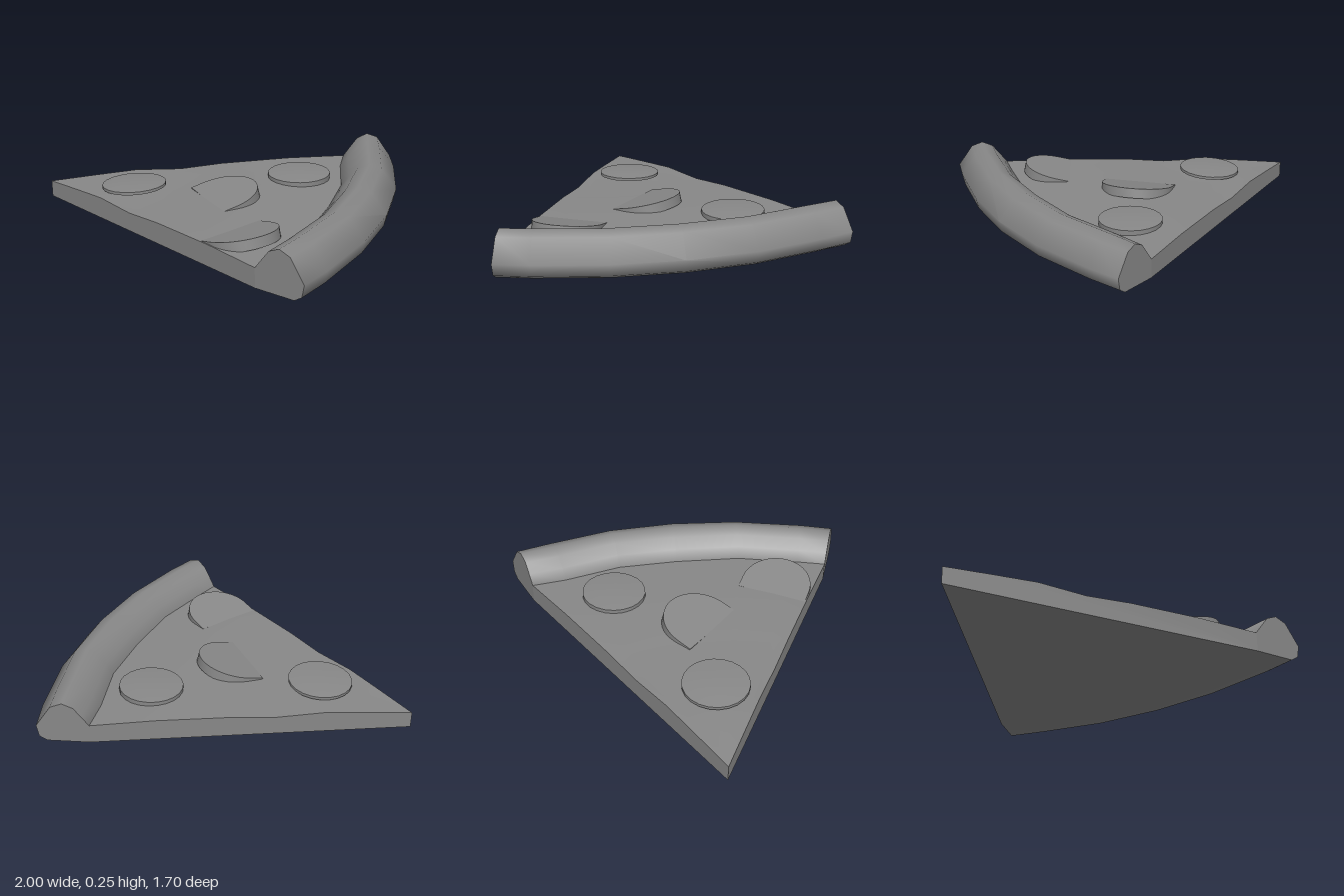
import * as THREE from 'three';
import { toCreasedNormals } from 'three/addons/utils/BufferGeometryUtils.js';

const TIP = [-1, 0.85];
// [x, z] stations along the crust, front end to back end
const INNER = [[0.71, 0.83], [0.67, 0.68], [0.57, 0.35], [0.4, 0.03], [0.22, -0.25], [-0.01, -0.48], [-0.13, -0.63]];
const OUTER = [[1, 0.79], [0.96, 0.6], [0.84, 0.22], [0.68, -0.12], [0.46, -0.44], [0.19, -0.72], [0.04, -0.85]];

// Cross-sections as [fraction from start to end, height]; the first point anchors the end caps
const SLAB = [[1, 0.01], [0, 0], [0, 0.09], [0.15, 0.107], [0.28, 0.12], [0.43, 0.106], [0.57, 0.121], [0.8, 0.125], [1, 0.115]];
const CRUST = [[0, 0.01], [0, 0.115], [0.14, 0.168], [0.29, 0.222], [0.5, 0.249], [0.72, 0.226], [1, 0.11], [0.95, 0.045], [0.8, 0.018]];

// Loft one section across all stations and close both ends
function loft(section, from, to, crease) {
  const n = section.length, m = to.length, pos = [], idx = [];
  for (let j = 0; j < m; j++) {
    const [ax, az] = from(j), [bx, bz] = to[j];
    for (const [f, y] of section) pos.push(ax + (bx - ax) * f, y, az + (bz - az) * f);
  }
  for (let j = 0; j < m - 1; j++) {
    for (let i = 0; i < n; i++) {
      const a = j * n + i, b = j * n + (i + 1) % n, c = a + n, d = b + n;
      idx.push(a, b, d, a, d, c);
    }
  }
  const last = (m - 1) * n;
  for (let i = 1; i < n - 1; i++) idx.push(0, i + 1, i, last, last + i, last + i + 1);
  const g = new THREE.BufferGeometry();
  g.setAttribute('position', new THREE.Float32BufferAttribute(pos, 3));
  g.setIndex(idx);
  return toCreasedNormals(g, crease);
}

// Slightly domed disc whose top rim lies at y = 0
function discGeometry(r, thickness) {
  const profile = [[0, -thickness], [r, -thickness], [r, 0], [r * 0.6, 0.006], [0, 0.009]];
  return toCreasedNormals(new THREE.LatheGeometry(profile.map(([x, y]) => new THREE.Vector2(x, y)), 22), 0.6);
}

// D-shaped slice: straight cut on the z axis, round side towards +x, top at y = 0
function cutSliceGeometry(r, straight, thickness) {
  const shape = new THREE.Shape();
  shape.moveTo(0, -r);
  shape.lineTo(straight, -r);
  shape.absarc(straight, 0, r, -Math.PI / 2, Math.PI / 2, false);
  shape.lineTo(0, r);
  const g = new THREE.ExtrudeGeometry(shape, { depth: thickness, bevelEnabled: false, curveSegments: 11 });
  g.rotateX(-Math.PI / 2);
  g.translate(0, -thickness, 0);
  return toCreasedNormals(g, 0.6);
}

export function createModel() {
  const group = new THREE.Group();
  const material = new THREE.MeshStandardMaterial({ color: 0x888888 });
  const add = (name, geometry) => {
    const mesh = new THREE.Mesh(geometry, material);
    mesh.name = name;
    group.add(mesh);
    return mesh;
  };

  add('pizzaBase', loft(SLAB, () => TIP, OUTER.map((_, j) => INNER[j]), 0.5));
  add('crust', loft(CRUST, (j) => INNER[j], OUTER, 0.9));

  // Whole slices lying on the base
  const backSlice = add('backSausageSlice', discGeometry(0.175, 0.035));
  backSlice.position.set(-0.035, 0.146, -0.17);
  const tipSlice = add('tipSausageSlice', discGeometry(0.175, 0.016));
  tipSlice.position.set(-0.53, 0.147, 0.613);
  tipSlice.rotation.z = 0.05;

  // Cut slices, hinged up from their straight edge
  const cutSlices = [
    { name: 'middleCutSlice', at: [-0.11, 0.121, 0.445], r: 0.207, straight: 0.083, yaw: 1.3 },
    { name: 'frontCutSlice', at: [0.31, 0.124, 0.635], r: 0.193, straight: 0.08, yaw: 0 },
  ];
  for (const { name, at, r, straight, yaw } of cutSlices) {
    const slice = add(name, cutSliceGeometry(r, straight, 0.055));
    slice.position.set(...at);
    slice.rotation.set(0, yaw, 0.22, 'YZX');
  }
  return group;
}
